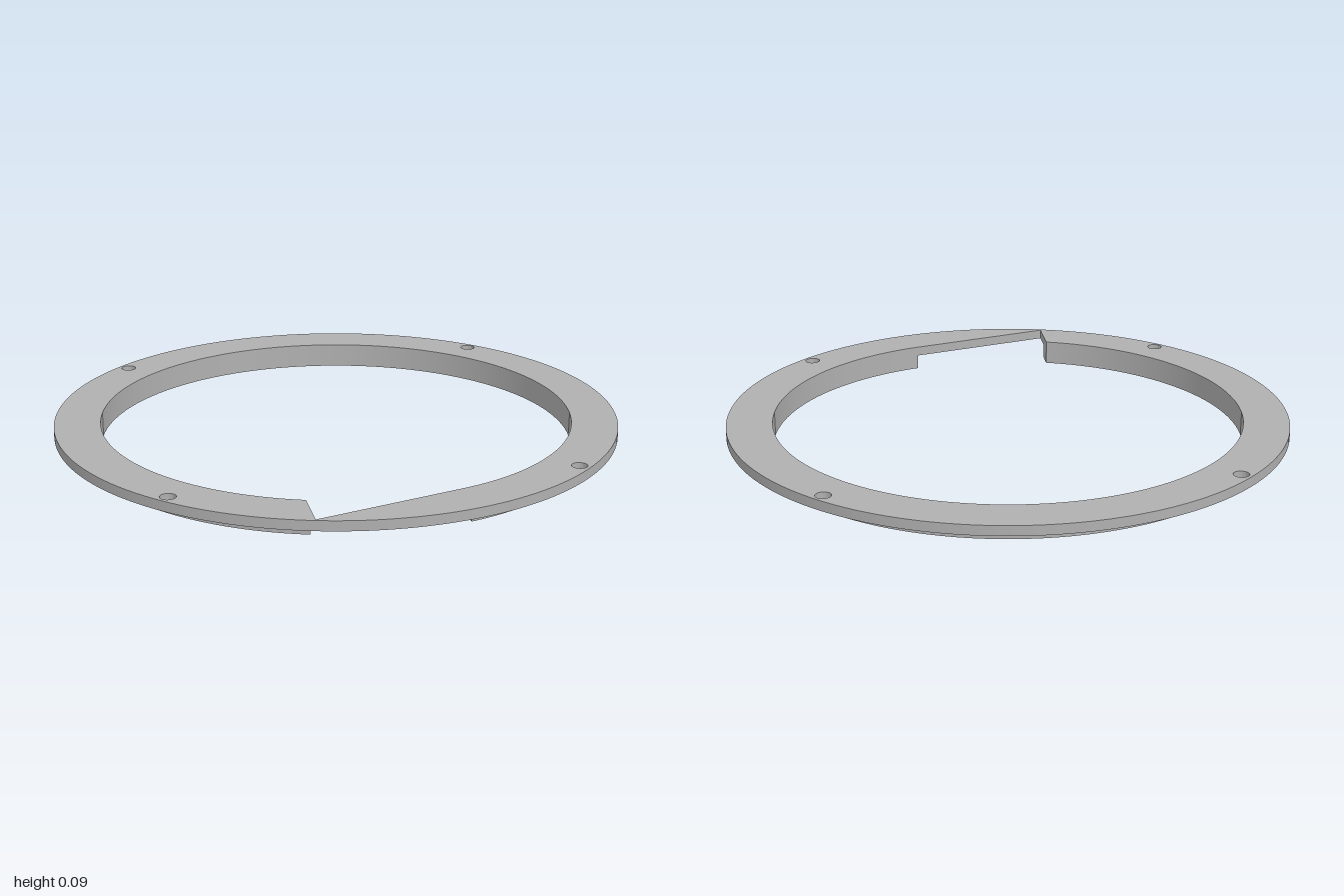
import * as THREE from 'three';
import { toCreasedNormals } from 'three/addons/utils/BufferGeometryUtils.js';

const INNER = 0.837, LIP = 0.905, NOTCH = 0.26, NOTCH_Z = 0.957;
const FLANGE_BOTTOM = 0.053, TOP = 0.088;

// Extrudes a plan shape (shape y becomes z) between two heights
function slab(name, shape, bottom, top, material) {
  const geometry = new THREE.ExtrudeGeometry(shape, {
    depth: top - bottom, bevelEnabled: false, curveSegments: 128,
  });
  geometry.rotateX(Math.PI / 2).translate(0, top, 0);
  const mesh = new THREE.Mesh(toCreasedNormals(geometry, 0.5), material);
  mesh.name = name;
  return mesh;
}

export function createModel() {
  const group = new THREE.Group();
  group.name = 'mountingRing';
  const grey = new THREE.MeshStandardMaterial({ color: 0xb0b0b0 });
  grey.name = 'grey';

  const a = Math.acos(NOTCH / INNER);
  const b = Math.acos(NOTCH / LIP);

  // Flange: full disc with a notched opening and four screw holes
  const flange = new THREE.Shape().absarc(0, 0, 1, 0, Math.PI * 2, false);
  const opening = new THREE.Path();
  opening.moveTo(NOTCH, NOTCH_Z);
  opening.absarc(0, 0, INNER, a, Math.PI - a, true);
  opening.lineTo(-NOTCH, NOTCH_Z);
  opening.closePath();
  flange.holes.push(opening);
  for (const x of [-0.68, 0.68]) {
    for (const z of [-0.68, 0.68]) {
      flange.holes.push(new THREE.Path().absarc(x, z, 0.027, 0, Math.PI * 2, true));
    }
  }
  group.add(slab('flange', flange, FLANGE_BOTTOM, TOP, grey));

  // Locating lip below the flange, open at the front notch
  const lip = new THREE.Shape();
  lip.absarc(0, 0, LIP, b, Math.PI - b, true);
  lip.absarc(0, 0, INNER, Math.PI - a, a, false);
  lip.closePath();
  group.add(slab('locatingLip', lip, 0, FLANGE_BOTTOM, grey));

  return group;
}
